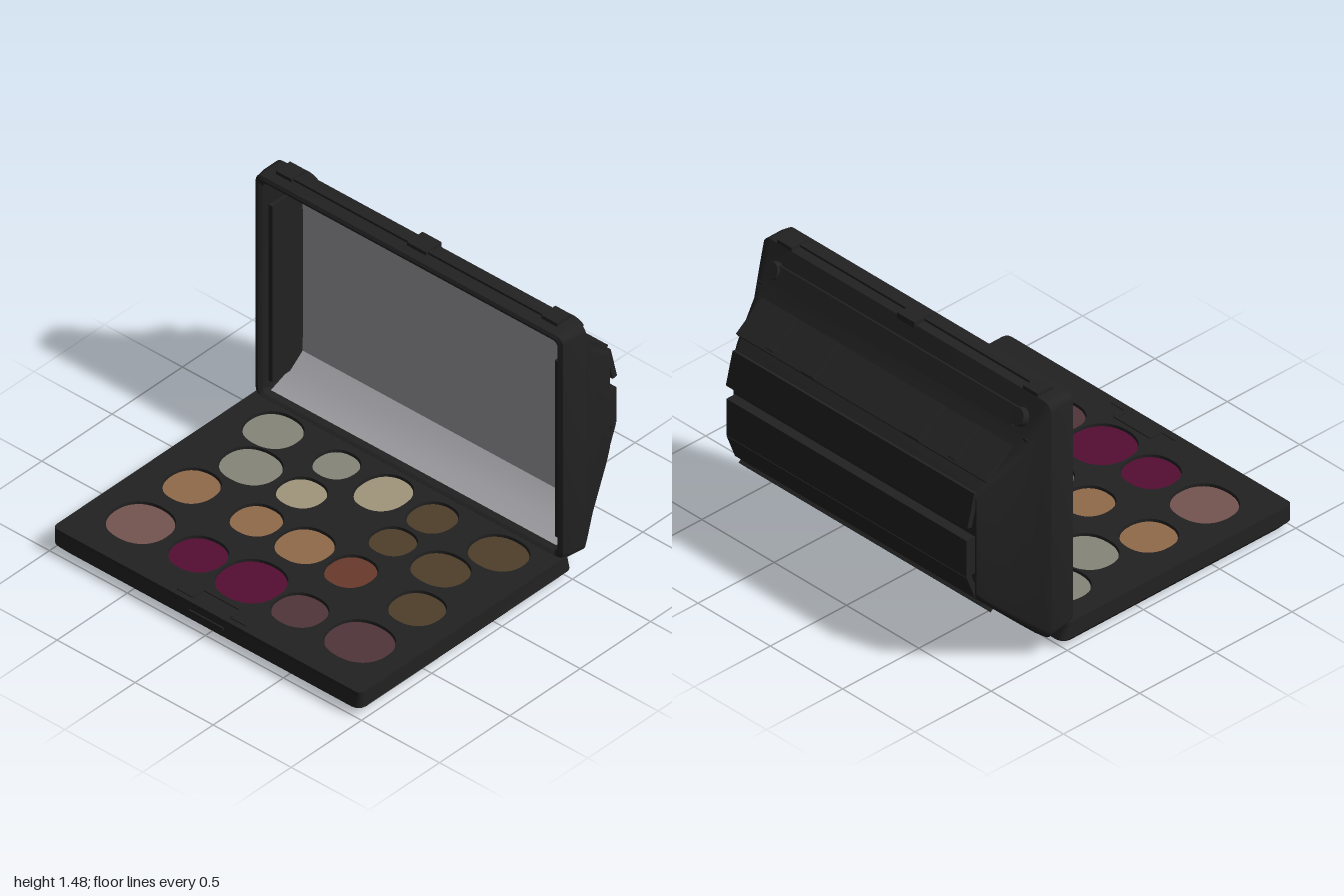
import * as THREE from 'three';
import { toCreasedNormals } from 'three/addons/utils/BufferGeometryUtils.js';

const material = (name, color, side = THREE.FrontSide) => {
  const m = new THREE.MeshStandardMaterial({ color, side });
  m.name = name;
  return m;
};

// Rounded rectangle outline, counter-clockwise
function roundedRect(x0, x1, y0, y1, r) {
  const pts = [];
  [[x1 - r, y0 + r, -1], [x1 - r, y1 - r, 0], [x0 + r, y1 - r, 1], [x0 + r, y0 + r, 2]].forEach(([cx, cy, q]) => {
    for (let i = 0; i <= 4; i++) {
      const a = (q + i / 4) * Math.PI / 2;
      pts.push(new THREE.Vector2(cx + r * Math.cos(a), cy + r * Math.sin(a)));
    }
  });
  return pts;
}

// Slightly squared ellipse outline
function panOutline(x, y, rx, ry) {
  const pts = [], soft = (v) => Math.sign(v) * Math.abs(v) ** 0.9;
  for (let i = 0; i < 40; i++) {
    const a = i / 40 * Math.PI * 2;
    pts.push(new THREE.Vector2(x + rx * soft(Math.cos(a)), y + ry * soft(Math.sin(a))));
  }
  return pts;
}

// Closed skin through rounded rectangles [z, x0, x1, y0, y1, radius]
function loft(sections) {
  const pos = [], index = [];
  const n = 20, last = (sections.length - 1) * n;
  for (const [z, x0, x1, y0, y1, r] of sections)
    for (const p of roundedRect(x0, x1, y0, y1, r)) pos.push(p.x, p.y, z);
  for (let s = 0; s < sections.length - 1; s++)
    for (let i = 0; i < n; i++) {
      const a = s * n + i, b = s * n + (i + 1) % n;
      index.push(a, a + n, b, b, a + n, b + n);
    }
  for (let i = 1; i < n - 1; i++) {
    index.push(0, i, i + 1);
    index.push(last, last + i + 1, last + i);
  }
  const g = new THREE.BufferGeometry();
  g.setAttribute('position', new THREE.Float32BufferAttribute(pos, 3));
  g.setIndex(index);
  return toCreasedNormals(g, 0.5);
}

export function createModel() {
  const root = new THREE.Group();
  root.name = 'makeupPalette';
  const base = new THREE.Group(), lid = new THREE.Group();
  base.name = 'base';
  lid.name = 'lid';
  root.add(base, lid);

  const black = material('black plastic', 0x222222);
  const silver = material('mirror silver', 0xa0a0a4, THREE.DoubleSide);
  const shades = {
    sage: material('sage grey', 0x868779),
    cream: material('cream', 0xa1967b),
    brown: material('olive brown', 0x4f3f2b),
    copper: material('copper', 0x926a4a),
    rust: material('rust', 0x6a3a2c),
    rose: material('dusty rose', 0x745450),
    berry: material('berry', 0x550d33),
    plum: material('plum', 0x4f353b),
  };

  const add = (parent, name, geometry, mat = black) => {
    const m = new THREE.Mesh(geometry, mat);
    m.name = name;
    parent.add(m);
    return m;
  };
  const box = (parent, name, x0, x1, y0, y1, z0, z1) => add(parent, name,
    new THREE.BoxGeometry(x1 - x0, y1 - y0, z1 - z0).translate((x0 + x1) / 2, (y0 + y1) / 2, (z0 + z1) / 2));
  // Slab lying along a sloping line between two [z, y] points
  const slab = (name, x, width, [z0, y0], [z1, y1], thick) => {
    const m = add(lid, name, new THREE.BoxGeometry(width, thick, Math.hypot(z1 - z0, y1 - y0)));
    m.position.set(x, (y0 + y1) / 2, (z0 + z1) / 2);
    m.rotation.x = Math.atan2(y0 - y1, z1 - z0);
  };

  // Base tray, built upright and laid flat
  add(base, 'baseTray', loft([
    [0.118, -0.99, 0.985, -0.99, 0.5, 0.03],
    [0.05, -0.99, 0.985, -0.995, 0.52, 0.04],
    [0.015, -0.96, 0.955, -0.965, 0.49, 0.05],
    [0, -0.93, 0.925, -0.93, 0.46, 0.05],
  ]).rotateX(-Math.PI / 2));

  // Pans: x, z, half width, half depth, shade
  const pans = [
    [-0.72, -0.28, 0.145, 0.135, 'sage'], [-0.315, -0.28, 0.11, 0.11, 'sage'],
    [0, -0.265, 0.13, 0.145, 'cream'], [0.305, -0.275, 0.117, 0.12, 'brown'],
    [0.725, -0.28, 0.15, 0.13, 'brown'],
    [-0.61, 0, 0.153, 0.138, 'sage'], [-0.29, -0.005, 0.12, 0.115, 'cream'],
    [0.29, -0.01, 0.113, 0.108, 'brown'], [0.605, 0, 0.147, 0.127, 'brown'],
    [-0.715, 0.305, 0.133, 0.135, 'copper'], [-0.305, 0.3, 0.123, 0.122, 'copper'],
    [0, 0.295, 0.14, 0.137, 'copper'], [0.3, 0.3, 0.12, 0.125, 'rust'],
    [0.73, 0.305, 0.135, 0.13, 'brown'],
    [-0.7, 0.685, 0.163, 0.155, 'rose'], [-0.33, 0.685, 0.14, 0.135, 'berry'],
    [0, 0.675, 0.167, 0.165, 'berry'], [0.325, 0.69, 0.135, 0.127, 'plum'],
    [0.7, 0.68, 0.17, 0.155, 'plum'],
  ];

  // Top plate with a well for each pan
  const plate = new THREE.Shape(roundedRect(-0.99, 0.985, -0.99, 0.5, 0.03));
  for (const [x, z, rx, rz] of pans)
    plate.holes.push(new THREE.Path(panOutline(x, -z, rx + 0.005, rz + 0.005)));
  add(base, 'topPlate', new THREE.ExtrudeGeometry(plate, { depth: 0.025, bevelEnabled: false })
    .rotateX(-Math.PI / 2).translate(0, 0.117, 0));
  for (const [x, z, rx, rz, shade] of pans)
    add(base, shade + 'Pan', new THREE.ShapeGeometry(new THREE.Shape(panOutline(x, -z, rx, rz)))
      .rotateX(-Math.PI / 2).translate(0, 0.129, 0), shades[shade]);

  // Front catch
  for (const s of [-1, 1]) {
    box(base, 'catchSide', s * 0.12 - 0.008, s * 0.12 + 0.008, 0.13, 0.148, 0.88, 0.95);
    box(base, 'catchWing', s * 0.17 - 0.05, s * 0.17 + 0.05, 0.13, 0.147, 0.945, 0.96);
  }
  box(base, 'catchBack', -0.125, 0.125, 0.13, 0.148, 0.872, 0.885);
  box(base, 'catchLip', -0.11, 0.11, 0.08, 0.098, 0.97, 1.0);

  // Lid shell: from the hollow, over the rim, to the domed back
  add(lid, 'lidShell', loft([
    [-0.71, -0.92, 0.92, 0.27, 1.26, 0.01],
    [-0.62, -0.92, 0.92, 0.21, 1.36, 0.01],
    [-0.5, -0.93, 0.93, 0.155, 1.425, 0.02],
    [-0.455, -0.945, 0.945, 0.155, 1.41, 0.03],
    [-0.44, -0.96, 0.96, 0.145, 1.435, 0.03],
    [-0.45, -0.985, 0.985, 0.13, 1.45, 0.04],
    [-0.5, -0.99, 0.99, 0.115, 1.455, 0.04],
    [-0.6, -0.995, 0.995, 0.1, 1.455, 0.05],
    [-0.64, -0.975, 0.975, 0.13, 1.38, 0.05],
    [-0.725, -0.93, 0.93, 0.21, 1.21, 0.04],
    [-0.9, -0.86, 0.86, 0.38, 1.07, 0.03],
    [-0.945, -0.84, 0.84, 0.43, 1.02, 0.03],
  ]));

  // Curved mirror lining inside the lid
  const profile = [[-0.48, 1.41], [-0.56, 1.385], [-0.62, 1.335], [-0.665, 1.28], [-0.695, 1.235],
    [-0.698, 0.7], [-0.695, 0.29], [-0.6, 0.215], [-0.48, 0.17]];
  const lining = new THREE.PlaneGeometry(1.83, 1, 1, profile.length - 1);
  const p = lining.attributes.position;
  for (let i = 0; i < p.count; i++) {
    const [z, y] = profile[Math.floor(i / 2)];
    p.setXYZ(i, p.getX(i), y, z);
  }
  add(lid, 'mirrorLining', toCreasedNormals(lining, 0.5), silver);

  // Side strips framing the mirror
  for (const s of [-1, 1])
    box(lid, 'mirrorSideStrip', s * 0.917 - 0.012, s * 0.917 + 0.012, 0.22, 1.27, -0.7, -0.48);

  // Rim details along the top edge
  box(lid, 'topRidge', -0.9, 0.9, 1.445, 1.468, -0.545, -0.515);
  box(lid, 'topLatch', -0.06, 0.06, 1.44, 1.475, -0.61, -0.5);
  for (const s of [-1, 1]) {
    box(lid, 'topCornerBlock', s * 0.85 - 0.05, s * 0.85 + 0.05, 1.44, 1.475, -0.6, -0.5);
    const stud = add(lid, 'cornerStud', new THREE.CylinderGeometry(0.045, 0.05, 0.06, 16));
    stud.position.set(s * 0.85, 1.35, -0.665);
    stud.rotation.x = -1.1;
  }

  // Back panels, straps and planks
  slab('upperLedge', 0, 1.66, [-0.65, 1.385], [-0.695, 1.3], 0.025);
  slab('upperPanel', 0, 1.72, [-0.73, 1.215], [-0.9, 1.085], 0.03);
  for (const s of [-1, 1]) {
    slab('innerStrap', s * 0.36, 0.1, [-0.74, 1.225], [-0.91, 1.1], 0.045);
    slab('outerStrap', s * 0.63, 0.05, [-0.74, 1.225], [-0.9, 1.105], 0.045);
  }
  slab('upperPlank', 0, 1.67, [-0.94, 1.03], [-0.985, 0.85], 0.03);
  box(lid, 'lowerPlank', -0.83, 0.83, 0.57, 0.78, -1, -0.93);
  slab('plankSkirt', 0, 1.66, [-0.985, 0.57], [-0.93, 0.43], 0.03);
  slab('lowerRail', 0, 1.68, [-0.9, 0.375], [-0.84, 0.315], 0.03);

  // Hinge between base and lid
  for (const s of [-1, 1]) {
    const hinge = add(root, 'hingeBarrel', new THREE.CylinderGeometry(0.035, 0.035, 0.3, 16));
    hinge.rotation.z = Math.PI / 2;
    hinge.position.set(s * 0.75, 0.115, -0.49);
  }
  return root;
}
